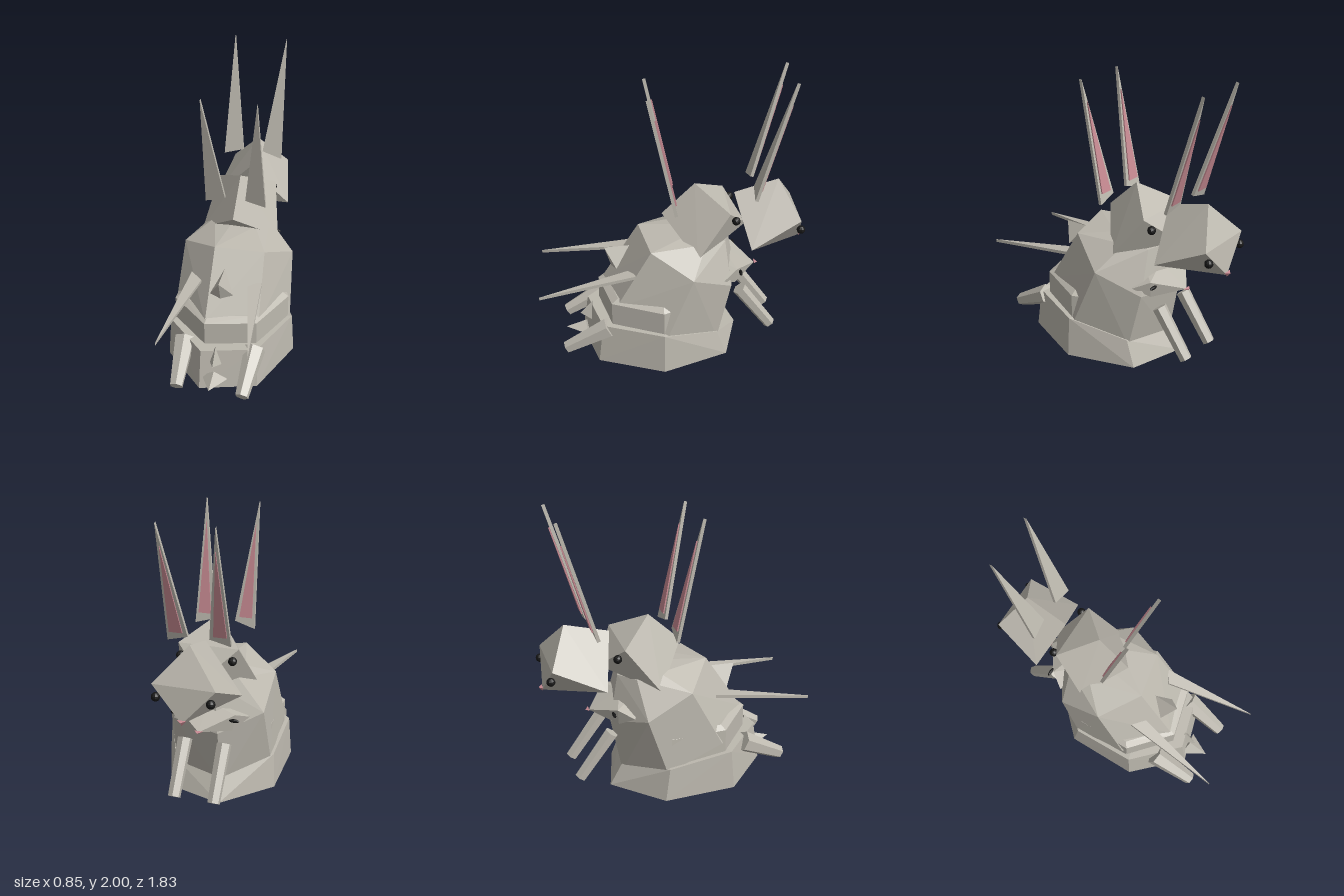
import * as THREE from 'three';
import { ConvexGeometry } from 'three/addons/geometries/ConvexGeometry.js';

const CX = -0.025; // plane of symmetry
const mat = (name, color) => Object.assign(new THREE.MeshStandardMaterial({ color, flatShading: true }), { name });
const V = (x, y, z) => new THREE.Vector3(x, y, z);

export function createModel() {
  const fur = mat('greyFur', 0xbdb9af);
  const pink = mat('pinkSkin', 0xc78a92);
  const black = mat('blackEye', 0x161616);
  const model = new THREE.Group();
  model.name = 'rabbits';

  const add = (name, geo, material, parent = model) => {
    const mesh = new THREE.Mesh(geo, material);
    mesh.name = name;
    parent.add(mesh);
    return mesh;
  };
  const hull = (name, pts, material = fur, parent = model) =>
    add(name, new ConvexGeometry(pts), material, parent);

  // seven-sided ring, optionally tilted: y rises by slope along z
  const ring = (y, z, rx, rz, slope = 0) => Array.from({ length: 7 }, (_, k) => {
    const a = k * Math.PI * 2 / 7;
    const dz = rz * Math.sin(a);
    return V(CX + rx * Math.cos(a), y + slope * dz, z + dz);
  });

  // bodies
  const baseTop = ring(0.29, 0.08, 0.43, 0.53).map(p => {
    if (p.z < 0) p.set(p.x, 0.28 + 0.28 * p.z, p.z * 0.9);
    return p;
  });
  hull('lowerBody', [...ring(0, 0.08, 0.449, 0.576), ...baseTop]);
  hull('middleBody', [
    ...ring(0.05, 0.08, 0.4, 0.446), ...ring(0.457, 0.08, 0.4, 0.446), ...ring(0.485, 0.08, 0.36, 0.39)]);
  hull('upperBody', [
    ...ring(0.28, 0.05, 0.41, 0.45, 0.41), ...ring(0.7, -0.12, 0.385, 0.352, 0.54),
    ...ring(0.87, -0.22, 0.2, 0.18, 0.16)]);

  // tails
  hull('upperTail', [V(CX, 0.76, 0.465), V(CX - 0.08, 0.62, 0.385), V(CX + 0.08, 0.63, 0.385),
    V(CX, 0.77, 0.29), V(CX, 0.615, 0.42)]);
  hull('middleTail', [V(CX, 0.32, 0.56), V(CX - 0.05, 0.2, 0.56), V(CX + 0.05, 0.18, 0.56),
    V(CX, 0.215, 0.655)]);
  hull('lowerTail', [V(CX, 0.15, 0.62), V(CX - 0.09, 0.085, 0.6), V(CX + 0.09, 0.085, 0.6),
    V(CX, 0.1, 0.76)]);

  // head: wedge around its crown point, nose towards -z
  const headShape = [V(0, 0, 0), V(0, -0.09, 0.3), V(0, -0.45, -0.165)];
  for (const s of [-1, 1]) headShape.push(V(s * 0.27, -0.395, 0.21), V(s * 0.203, -0.225, -0.13));

  function head(name, y, z, tilt) {
    const g = new THREE.Group();
    g.name = name;
    g.position.set(CX, y, z);
    g.rotation.x = tilt;
    hull('skull', headShape, fur, g);
    for (const s of [-1, 1])
      add('eye', new THREE.SphereGeometry(0.029, 10, 8), black, g).position.set(s * 0.175, -0.305, -0.137);
    hull('nose', [V(-0.03, -0.425, -0.165), V(0.03, -0.425, -0.165), V(0, -0.46, -0.165),
      V(0, -0.43, -0.19)], pink, g);
    model.add(g);
  }
  head('rearHead', 1.245, -0.73, 0);
  head('middleHead', 1.235, -0.16, 0.483);

  // small head half sunk in the body
  const small = [V(CX, 0.7, -0.37), V(CX, 0.58, -0.59), V(CX, 0.7, -0.2)];
  for (const s of [-1, 1])
    small.push(V(CX + s * 0.27, 0.61, -0.34), V(CX + s * 0.2, 0.66, -0.44), V(CX + s * 0.18, 0.54, -0.43));
  hull('lowHead', small);
  hull('lowNose', [V(CX - 0.03, 0.59, -0.59), V(CX + 0.03, 0.59, -0.59), V(CX, 0.57, -0.59),
    V(CX, 0.583, -0.615)], pink);
  for (const s of [-1, 1]) {
    const eye = add('lowEye', new THREE.SphereGeometry(0.012, 8, 6), black);
    eye.scale.x = 3;
    eye.position.set(CX + s * 0.2, 0.63, -0.465);
  }

  // triangular plate in the local xy plane, between two depths
  const plate = (name, pts, z0, z1, material, parent) =>
    hull(name, pts.flatMap(([x, y]) => [V(x, y, z0), V(x, y, z1)]), material, parent);

  function ears(name, y, z, tilt, outline, lining) {
    const g = new THREE.Group();
    g.name = name;
    g.position.set(CX, y, z);
    g.rotation.x = tilt;
    for (const s of [-1, 1]) {
      const side = pts => pts.map(([px, py]) => [px * s, py]);
      plate('ear', side(outline), -0.01, 0.012, fur, g);
      if (lining) plate('earLining', side(lining), -0.019, -0.009, pink, g);
    }
    model.add(g);
  }
  const earOutline = [[0.207, 0], [0.07, 0.04], [0.181, 0.84]];
  const earLining = [[0.187, 0.07], [0.1, 0.07], [0.17, 0.69]];
  ears('middleEars', 1.1, -0.02, 0.216, earOutline, earLining);
  ears('rearEars', 1.19, -0.55, -0.277, earOutline, earLining);
  ears('lowEars', 0.66, 0.27, 1.716, [[0.245, -0.03], [0.16, 0.04], [0.298, 0.65]]);

  // tapered six-sided limbs
  function limb(name, from, to, r0, r1) {
    const d = to.clone().sub(from);
    const m = add(name, new THREE.CylinderGeometry(r1, r0, d.length(), 6), fur);
    m.position.copy(from).addScaledVector(d, 0.5);
    m.quaternion.setFromUnitVectors(V(0, 1, 0), d.normalize());
  }
  for (const s of [-1, 1]) {
    limb('frontLeg', V(CX + s * 0.135, 0.455, -0.47), V(CX + s * 0.135, 0.14, -0.7), 0.05, 0.042);
    limb('hindLeg', V(CX + s * 0.245, 0.26, 0.45), V(CX + s * 0.225, 0.09, 0.753), 0.075, 0.046);
  }
  return model;
}
